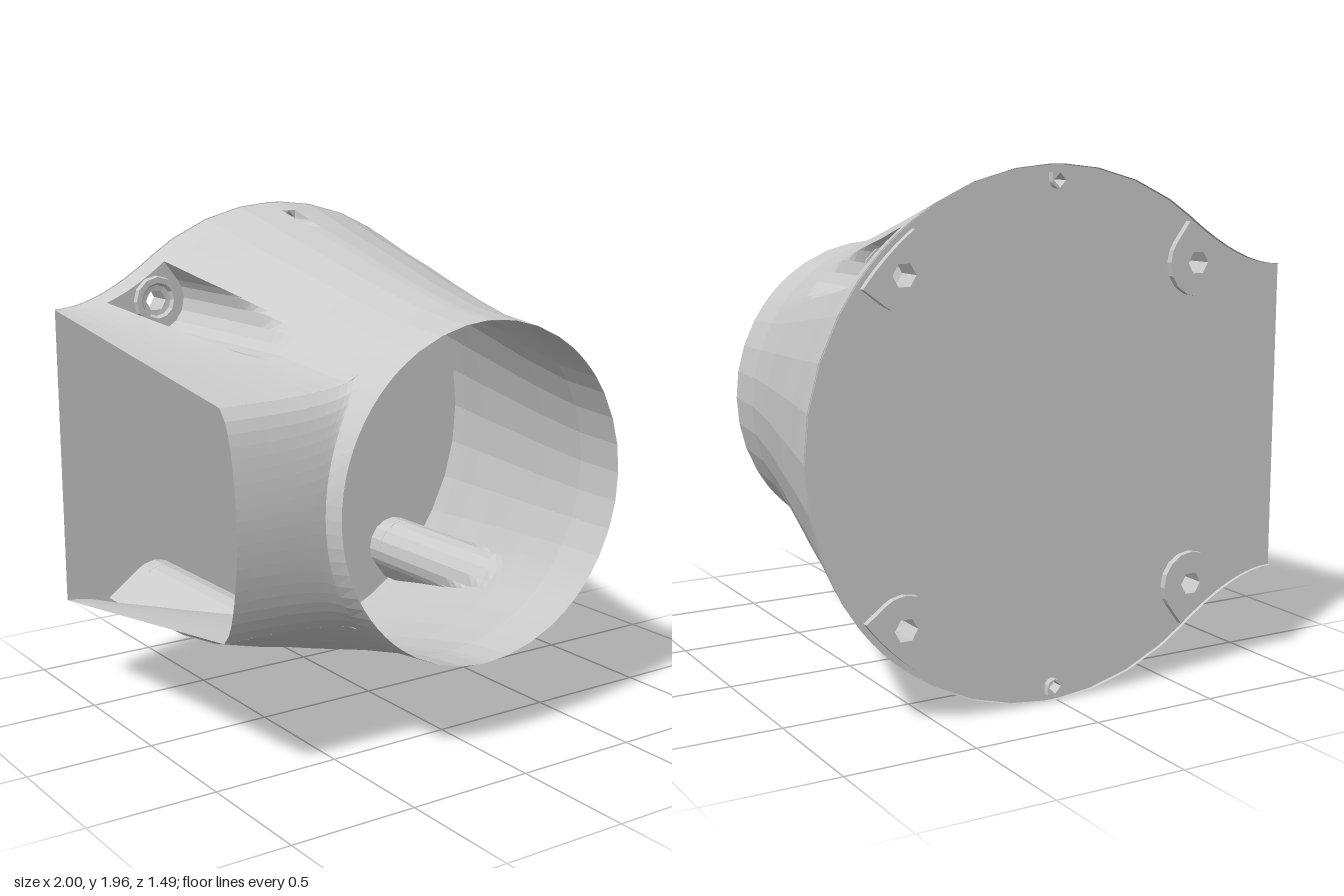
import * as THREE from 'three';

const CX = 0.018, CY = 0.982, RAD = Math.PI / 180;
const BACK = -0.73, SHOULDER = 0.58, FRONT = 0.74;

// Flared body profile: [z, radius]
const PROFILE = [[-0.73, 0.982], [-0.6, 0.95], [-0.4, 0.893], [-0.2, 0.842], [0, 0.788],
  [0.2, 0.735], [0.5, 0.667], [0.74, 0.641]];

function bodyRadius(z) {
  for (let i = 1; i < PROFILE.length; i++) {
    const [z0, r0] = PROFILE[i - 1], [z1, r1] = PROFILE[i];
    if (z <= z1) return r0 + (r1 - r0) * (z - z0) / (z1 - z0);
  }
  return 0.641;
}

// Screw pockets: angle, distance of the axis, pocket radius, floor z, hole radius and sides
const POCKETS = [];
for (const s of [1, -1]) {
  for (const a of [45, 135]) POCKETS.push({ angle: s * a, d: 0.87, p: 0.125, floor: -0.64, hole: 0.045, sides: 6 });
  POCKETS.push({ angle: s * 90, d: 0.925, p: 0.03, floor: -0.61, hole: 0.026, sides: 4 });
}
for (const k of POCKETS) k.spread = Math.asin(k.p / k.d) / RAD;
const STEPS = [-1, -0.97, -0.8, -0.45, 0, 0.45, 0.8, 0.97, 1];

const pocketWall = (k, delta) => {
  const s = k.d * Math.sin(delta * RAD);
  return k.d * Math.cos(delta * RAD) - Math.sqrt(Math.max(0, k.p * k.p - s * s));
};

// Side branch: half height, and the angle where its fillet meets the round body
const along = (z) => (z - BACK) / (SHOULDER - BACK);
const branchHalf = (z) => 0.598 + (0.41 - 0.598) * along(z);
const joinAngle = (z) => 127 + 8 * along(z);
const endAngle = (z) => Math.atan2(branchHalf(z), -1 - CX) / RAD;
const quad = (a, b, c, t) => a * (1 - t) * (1 - t) + 2 * b * t * (1 - t) + c * t * t;

// Distance of the outer skin from the axis, for an angle in degrees
function skin(angle, z) {
  const t = Math.abs(angle), r = bodyRadius(z), join = joinAngle(z);
  if (t <= join) return r;
  const h = branchHalf(z), x = r * Math.cos(join * RAD), y = r * Math.sin(join * RAD);
  const cx = x + (y - h) * Math.sin(join * RAD) / Math.cos(join * RAD);
  let lo = 0, hi = 1, px = 0, py = 0;
  for (let i = 0; i < 30; i++) {
    const u = (lo + hi) / 2;
    px = quad(-1 - CX, cx, x, u);
    py = quad(h, h, y, u);
    if (Math.atan2(py, px) / RAD > t) lo = u; else hi = u;
  }
  return Math.hypot(px, py);
}

function carved(angle, z) {
  let r = skin(angle, z);
  for (const k of POCKETS) {
    const delta = angle - k.angle;
    if (z > k.floor && Math.abs(delta) <= k.spread + 1e-6) r = Math.min(r, pocketWall(k, delta));
  }
  return r;
}

const polar = (r, angle, z) => [CX + r * Math.cos(angle * RAD), CY + r * Math.sin(angle * RAD), z];

// Angles shared by all sections, denser at the pockets
const half = [144];
for (let a = 0; a <= 140; a += 10) {
  if (!POCKETS.some((k) => Math.abs(a - k.angle) < k.spread + 0.3)) half.push(a);
}
for (const k of POCKETS) {
  if (k.angle > 0) for (const s of [-1.002, ...STEPS, 1.002]) half.push(k.angle + s * k.spread);
}
half.sort((a, b) => a - b);
const mirrored = (list) => [...list.slice(1).reverse().map((a) => -a), ...list];

const material = new THREE.MeshStandardMaterial({ color: 0xcccccc, flatShading: true, side: THREE.DoubleSide });

function add(group, name, geometry) {
  const mesh = new THREE.Mesh(geometry, material);
  mesh.name = name;
  group.add(mesh);
  return mesh;
}

// Skins a grid of points; skip(a, b) leaves a quad open
function surface(rows, skip = () => false) {
  const n = rows[0].length, index = [];
  for (let i = 0; i + 1 < rows.length; i++) {
    for (let j = 0; j + 1 < n; j++) {
      if (skip(i, j)) continue;
      const a = i * n + j, b = a + n;
      index.push(a, a + 1, b, a + 1, b + 1, b);
    }
  }
  const g = new THREE.BufferGeometry();
  g.setAttribute('position', new THREE.Float32BufferAttribute(rows.flat(2), 3));
  g.setIndex(index);
  g.computeVertexNormals();
  return g;
}

function holePath(k) {
  const x = CX + k.d * Math.cos(k.angle * RAD), y = CY + k.d * Math.sin(k.angle * RAD), pts = [];
  for (let i = 0; i < k.sides; i++) {
    const a = i / k.sides * Math.PI * 2;
    pts.push(new THREE.Vector2(x + k.hole * Math.cos(a), y + k.hole * Math.sin(a)));
  }
  return new THREE.Path(pts);
}

const toShape = (pts) => new THREE.Shape(pts.map(([x, y]) => new THREE.Vector2(x, y)));

export function createModel() {
  const group = new THREE.Group();

  // Flared body blending into the side branch, with the pockets pressed in
  const levels = [BACK, -0.68, -0.641, -0.639, -0.611, -0.609];
  for (let z = -0.55; z < 0.28; z += 0.05) levels.push(z);
  levels.push(0.38, 0.5, SHOULDER);
  const angles = (z) => {
    const list = [...half], e = endAngle(z);
    for (let i = 1; i <= 5; i++) list.push(144 + (e - 144) * i / 5);
    return mirrored(list);
  };
  const grid = levels.map((z) => angles(z));
  const rows = levels.map((z, i) => grid[i].map((a) => polar(carved(a, z), a, z)));
  const openFloor = (i, j) => POCKETS.some((k) => levels[i] < k.floor && levels[i + 1] > k.floor &&
    Math.abs((grid[i][j] + grid[i][j + 1]) / 2 - k.angle) < k.spread);
  add(group, 'flaredBody', surface(rows, openFloor));

  // Bulged front wall of the branch, ending at the collar
  const wallZ = (v) => 0.68 - 0.07 * v * v - 0.03 * Math.abs(v) ** 12;
  const wallRadius = (v) => bodyRadius(wallZ(v)) + 0.02 * (1 - v * v);
  const hFront = branchHalf(SHOULDER);
  const rise = bodyRadius(SHOULDER) * Math.SQRT1_2 - hFront;
  const wall = [];
  for (let i = -10; i <= 10; i++) {
    const v = i / 10, [x, y] = polar(wallRadius(v), 180 - 45 * v, 0), row = [];
    for (let j = 0; j <= 10; j++) {
      const u = j / 10, y0 = CY + hFront * v;
      row.push([quad(-1, x - rise, x, u), quad(y0, y0, y, u), wallZ(v)]);
    }
    wall.push(row);
  }
  add(group, 'branchFrontWall', surface(wall));

  // Round collar at the front opening
  const ring = half.filter((a) => a <= 135);
  const loop = mirrored(ring);
  for (let i = 1; i <= 20; i++) loop.push(135 + i * 4.5);
  const collarLow = loop.map((a) => {
    if (a <= 135) return polar(bodyRadius(SHOULDER), a, SHOULDER);
    const v = (180 - a) / 45;
    return polar(wallRadius(v), a, wallZ(v));
  });
  add(group, 'frontCollar', surface([collarLow, loop.map((a) => polar(bodyRadius(FRONT), a, FRONT))]));

  // Back plate with screw holes
  const plate = toShape(angles(BACK).map((a) => polar(skin(a, BACK), a, 0)));
  plate.holes = POCKETS.map(holePath);
  add(group, 'backPlate', new THREE.ShapeGeometry(plate)).position.z = -0.72;

  // Pocket floors that carry through to raised pads on the back
  for (const k of POCKETS) {
    const inner = STEPS.map((s) => polar(pocketWall(k, s * k.spread), k.angle + s * k.spread, 0));
    const outer = STEPS.map((s) => {
      const a = k.angle + s * k.spread;
      return polar(skin(a, k.floor), a, 0);
    });
    const shape = toShape([...inner, ...outer.reverse()]);
    shape.holes = [holePath(k)];
    const pad = new THREE.ExtrudeGeometry(shape, { depth: k.floor + 0.745, bevelEnabled: false });
    add(group, 'screwPad', pad).position.z = -0.745;
    if (k.p < 0.1) continue;
    // Raised screw seat
    const seat = new THREE.LatheGeometry([[0.1, 0], [0.095, 0.02], [0.072, 0.02], [0.062, 0.006], [0.045, 0.004]]
      .map(([x, y]) => new THREE.Vector2(x, y)), 12);
    seat.rotateX(Math.PI / 2);
    const [x, y] = polar(k.d, k.angle, 0);
    add(group, 'screwSeat', seat).position.set(x, y, k.floor);
  }
  return group;
}
